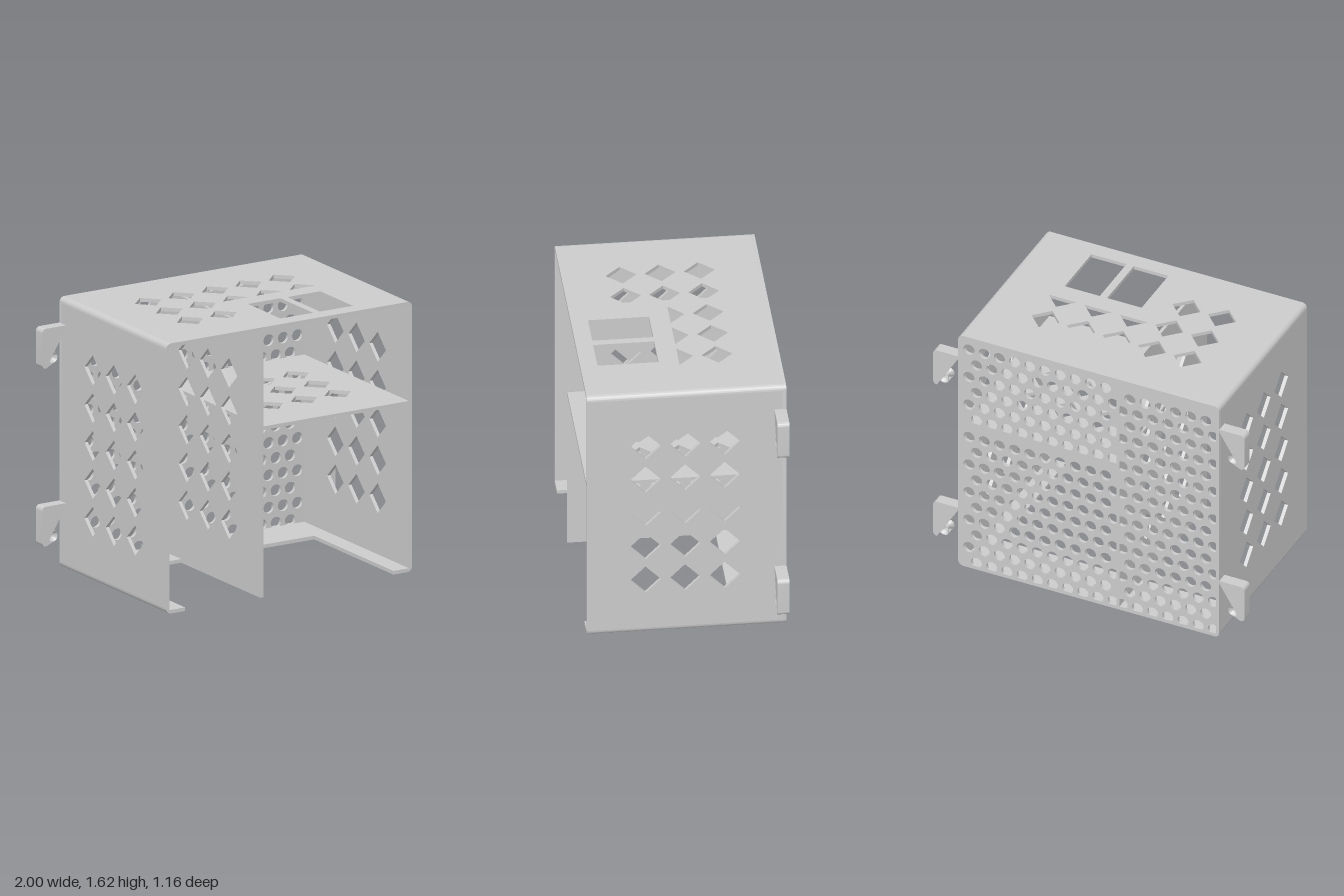
import * as THREE from 'three';
import { toCreasedNormals } from 'three/addons/utils/BufferGeometryUtils.js';

const W = 0.838, H = 1.625, D = 0.58; // half width, height, half depth
const T = 0.022, R = 0.032;           // wall thickness, corner radius
const BACK = -D + T;                  // inner face of the back plate
const DIV = [-0.197, -0.177];         // divider faces
const SHELF = 1.028;                  // top face of the shelf

const material = new THREE.MeshStandardMaterial({ color: 0xcccccc });

const polygon = (pts) => new THREE.Shape(pts.map(([x, y]) => new THREE.Vector2(x, y)));
const rect = (x0, x1, y0, y1) => polygon([[x0, y0], [x1, y0], [x1, y1], [x0, y1]]);
const diamond = (x, y, maxY = Infinity, r = 0.09) =>
  polygon([[x + r, y], [x, Math.min(y + r, maxY)], [x - r, y], [x, y - r]]);

function roundedRect(x0, x1, y0, y1, r) {
  const s = new THREE.Shape();
  s.absarc(x1 - r, y0 + r, r, -Math.PI / 2, 0);
  s.absarc(x1 - r, y1 - r, r, 0, Math.PI / 2);
  s.absarc(x0 + r, y1 - r, r, Math.PI / 2, Math.PI);
  s.absarc(x0 + r, y0 + r, r, Math.PI, Math.PI * 1.5);
  return s;
}

function slab(name, shape, depth, holes = []) {
  shape.holes.push(...holes);
  const geo = new THREE.ExtrudeGeometry(shape, { depth, bevelEnabled: false, curveSegments: 8 });
  const mesh = new THREE.Mesh(toCreasedNormals(geo, 0.6), material);
  mesh.name = name;
  return mesh;
}

// Upright panel facing x: shape is drawn in (z, y), thickness goes towards -x
function sidePanel(name, x, shape, depth, holes) {
  const m = slab(name, shape, depth, holes);
  m.rotation.y = -Math.PI / 2;
  m.position.x = x;
  return m;
}

// Level panel: shape is drawn in (x, z), thickness goes down from y
function levelPanel(name, y, shape, holes) {
  const m = slab(name, shape, T, holes);
  m.rotation.x = Math.PI / 2;
  m.position.y = y;
  return m;
}

function diamondGrid(us, vs) {
  return us.flatMap((u) => vs.map((v) => diamond(u, v)));
}

// Staggered round holes, trimmed to the compartment they open into
function roundHoles(x0, topY, rows, count, extra, [minX, maxX, minY, maxY]) {
  const pitch = 0.0975, r = 0.035, n = 20, holes = [];
  for (let row = 0; row < rows; row++) {
    const odd = row % 2;
    for (let i = 0; i < count + odd * extra; i++) {
      const cx = x0 + i * pitch - odd * pitch / 2, cy = topY - row * 0.0973;
      const pts = [];
      for (let k = 0; k < n; k++) {
        const a = (k / n) * Math.PI * 2;
        pts.push([
          THREE.MathUtils.clamp(cx + r * Math.cos(a), minX, maxX),
          THREE.MathUtils.clamp(cy + r * Math.sin(a), minY, maxY),
        ]);
      }
      holes.push(polygon(pts));
    }
  }
  return holes;
}

// Mounting ear with a screw hole that flares at both faces
function mountingEar(side, y0, holeY) {
  const ear = new THREE.Group();
  ear.name = 'mountingEar';
  const thick = 0.07, cx = 0.928, flare = 0.032, bore = 0.016, r = 0.025;
  const s = new THREE.Shape();
  s.moveTo(W - 0.01, y0);
  s.absarc(1 - r, y0 + r, r, -Math.PI / 2, 0);
  s.absarc(1 - r, y0 + 0.24 - r, r, 0, Math.PI / 2);
  s.lineTo(W - 0.01, y0 + 0.24);
  const outline = side > 0 ? s : polygon(s.getPoints(8).map((p) => [-p.x, p.y]));
  const hole = new THREE.Path().absarc(side * cx, holeY, flare, 0, Math.PI * 2);
  const plate = slab('earPlate', outline, thick, [hole]);
  plate.position.z = -D;

  const profile = [[flare, 0], [bore, 0.02], [bore, thick - 0.02], [flare, thick]];
  const lathe = new THREE.LatheGeometry(profile.map(([x, y]) => new THREE.Vector2(x, y)), 24);
  const liner = material.clone();
  liner.side = THREE.DoubleSide;
  const screwHole = new THREE.Mesh(toCreasedNormals(lathe, 0.5), liner);
  screwHole.name = 'screwHole';
  screwHole.rotation.x = Math.PI / 2;
  screwHole.position.set(side * cx, holeY, -D);
  ear.add(plate, screwHole);
  return ear;
}

export function createModel() {
  const model = new THREE.Group();
  model.name = 'ventedEnclosure';
  const zs = [-0.22, 0.01, 0.24];
  const ys = [0.36, 0.588, 0.815, 1.043, 1.27];
  const inX = W - T;

  // Perforated back plate
  const back = slab('backPlate', roundedRect(-W, W, 0, H, R), T, [
    ...roundHoles(-0.752, 1.505, 16, 6, 1, [-inX, DIV[0], T, H - T]),
    ...roundHoles(-0.109, 1.54, 6, 10, 0, [DIV[1], inX, SHELF, H - T]),
    ...roundHoles(-0.109, 0.922, 10, 10, 0, [DIV[1], inX, T, SHELF - T]),
  ]);
  back.position.z = -D;
  model.add(back);

  // Side walls and divider with diamond vents
  model.add(sidePanel('leftWall', W, rect(BACK, D, R, H - R), T, diamondGrid(zs, ys)));
  model.add(sidePanel('rightWall', -W + T, rect(BACK, D, R, H - R), T, diamondGrid(zs, ys)));
  model.add(sidePanel('divider', DIV[1], rect(BACK, D, 0, H - T), DIV[1] - DIV[0], diamondGrid(zs, ys)));

  // Top with diamond vents and two rectangular openings
  model.add(levelPanel('top', H, rect(-W + R, W - R, BACK, D), [
    ...diamondGrid([-0.46, -0.232], [-0.22, 0.008, 0.235]),
    ...[-0.004, 0.224, 0.452].flatMap((x) => [diamond(x, -0.22), diamond(x, 0.008, 0.008)]),
    rect(0.003, 0.225, 0.125, 0.48),
    rect(0.272, 0.497, 0.125, 0.48),
  ]));

  // Shelf between the divider and the left wall
  model.add(levelPanel('shelf', SHELF, rect(DIV[1], inX, BACK, D),
    diamondGrid([0.09, 0.32, 0.55], [-0.225, 0.003, 0.23])));

  // Floor: a strip at the back and a narrow lip along each side
  const fx = W - R, lip = 0.71, cut = -0.28;
  model.add(levelPanel('floor', T, polygon([
    [-fx, BACK], [fx, BACK], [fx, D], [lip, D], [lip, cut], [-lip, cut], [-lip, D], [-fx, D],
  ])));

  // Rounded long edges joining the walls, square on the inside
  for (let q = 0; q < 4; q++) {
    const s = new THREE.Shape();
    s.absarc(0, 0, R, 0, Math.PI / 2);
    s.lineTo(0, R - T);
    s.lineTo(R - T, R - T);
    s.lineTo(R - T, 0);
    const edge = slab('roundedEdge', s, D - BACK);
    edge.rotation.z = q * Math.PI / 2;
    edge.position.set(q === 0 || q === 3 ? W - R : -W + R, q < 2 ? H - R : R, BACK);
    model.add(edge);
  }

  // Four mounting ears
  for (const side of [-1, 1]) {
    model.add(mountingEar(side, 0.16, 0.215), mountingEar(side, 1.23, 1.29));
  }
  return model;
}
